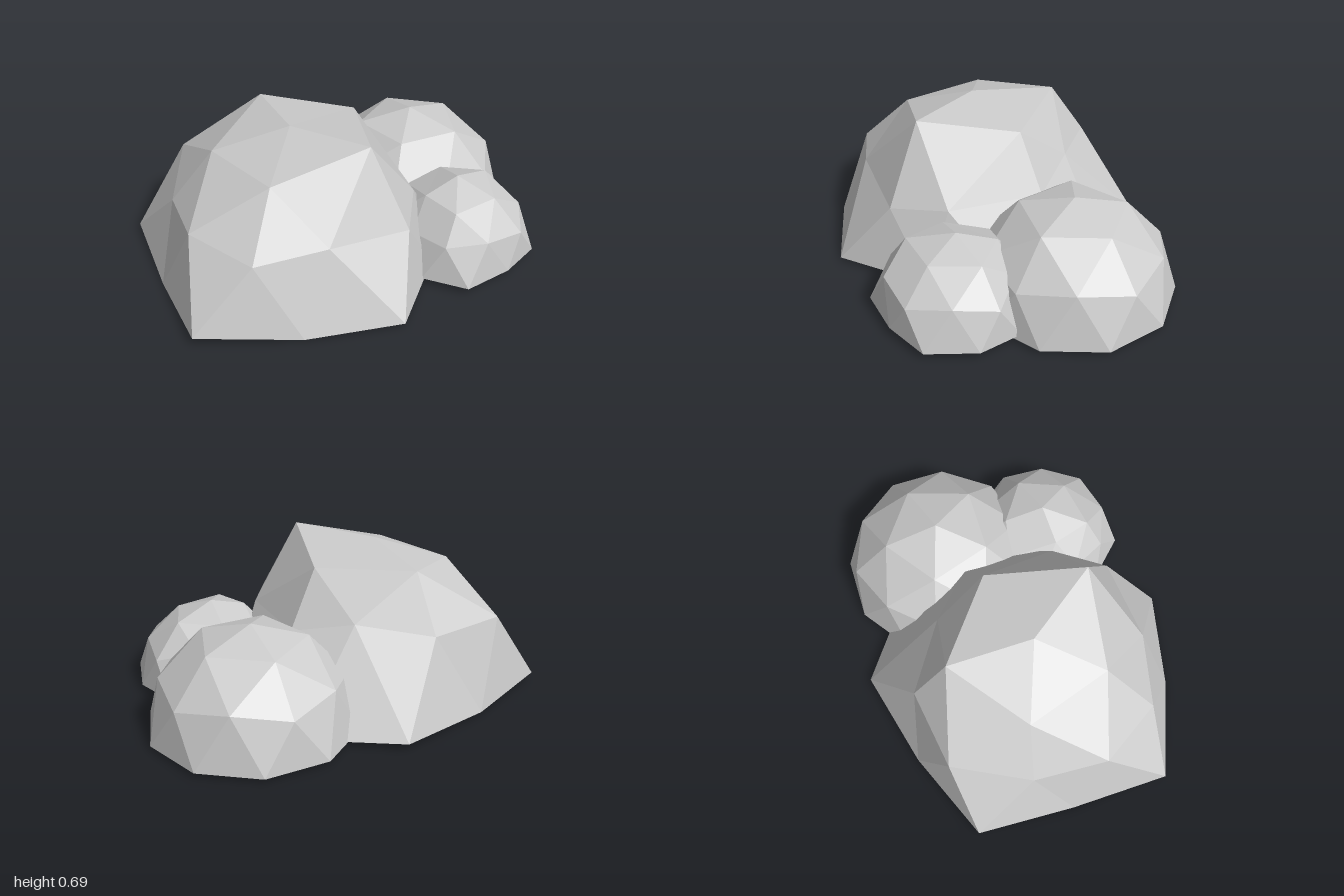
import * as THREE from 'three';

const material = new THREE.MeshStandardMaterial({
  color: 0xcccccc, flatShading: true, side: THREE.DoubleSide,
});

// Open faceted dome: the upper half of a once-subdivided icosahedron, made of
// a pole, 5 points round the cap, 10 round the shoulder and 10 round the rim.
function boulder(name, { pole, cap, shoulder, rim }) {
  const out = [];
  const face = (a, b, c) => out.push(...a, ...c, ...b);
  for (let i = 0; i < 5; i++) {
    const u0 = cap[i], u1 = cap[(i + 1) % 5];
    const v0 = shoulder[2 * i], m = shoulder[2 * i + 1], v1 = shoulder[(2 * i + 2) % 10];
    const e0 = rim[(2 * i + 9) % 10], e1 = rim[2 * i], e2 = rim[2 * i + 1];
    face(pole, u0, u1);
    face(u0, v0, m);
    face(u1, m, v1);
    face(u0, m, u1);
    face(v0, e1, m);
    face(m, e2, v1);
    face(m, e1, e2);
    face(v0, e0, e1);
  }
  const geometry = new THREE.BufferGeometry();
  geometry.setAttribute('position', new THREE.Float32BufferAttribute(out, 3));
  geometry.computeVertexNormals();
  const mesh = new THREE.Mesh(geometry, material);
  mesh.name = name;
  return mesh;
}

// Points of a regular dome; angles run from +x towards +z
function roundDome(x, base, z, radius, height) {
  const ring = (count, start, at) => Array.from({ length: count }, (_, i) => {
    const a = THREE.MathUtils.degToRad(start + (i * 360) / count);
    const [r, h] = at(i);
    return [x + radius * r * Math.cos(a), base + height * h, z + radius * r * Math.sin(a)];
  });
  return {
    pole: [x, base + height, z],
    cap: ring(5, 0, () => [0.526, 0.851]),
    shoulder: ring(10, 0, (i) => (i % 2 ? [0.851, 0.526] : [0.894, 0.447])),
    rim: ring(10, 18, () => [1, 0]),
  };
}

export function createModel() {
  const group = new THREE.Group();
  group.name = 'boulderCluster';

  // Large irregular boulder, steep at the front
  group.add(boulder('largeBoulder', {
    pole: [-0.24, 0.685, -0.08],
    cap: [[0.15, 0.635, -0.08], [-0.11, 0.695, 0.31], [-0.52, 0.575, 0.12],
      [-0.52, 0.57, -0.3], [-0.11, 0.65, -0.46]],
    shoulder: [[0.31, 0.38, -0.09], [0.16, 0.36, 0.32], [-0.05, 0.33, 0.5],
      [-0.44, 0.37, 0.41], [-0.73, 0.33, 0.25], [-0.82, 0.37, -0.08],
      [-0.69, 0.33, -0.4], [-0.43, 0.4, -0.68], [-0.06, 0.4, -0.62], [0.16, 0.44, -0.34]],
    rim: [[0.47, 0.01, 0.15], [0.17, 0.02, 0.45], [-0.24, 0.015, 0.68],
      [-0.63, 0.01, 0.46], [-1, 0.04, 0.16], [-0.86, 0, -0.28], [-0.7, 0.03, -0.72],
      [-0.24, 0.01, -0.76], [0.23, 0.03, -0.73], [0.51, 0.01, -0.35]],
  }));

  // Medium rounded boulder beside it
  group.add(boulder('mediumBoulder', roundDome(0.543, 0.015, -0.088, 0.48, 0.475)));

  // Small boulder in front, with a flatter front face
  group.add(boulder('smallBoulder', {
    pole: [0.36, 0.395, 0.41],
    cap: [[0.56, 0.34, 0.41], [0.42, 0.33, 0.59], [0.19, 0.33, 0.56],
      [0.19, 0.34, 0.37], [0.43, 0.335, 0.24]],
    shoulder: [[0.695, 0.19, 0.41], [0.61, 0.22, 0.59], [0.46, 0.19, 0.73],
      [0.25, 0.22, 0.71], [0.1, 0.2, 0.59], [0.07, 0.21, 0.41],
      [0.11, 0.2, 0.22], [0.28, 0.27, 0.16], [0.46, 0.2, 0.1], [0.58, 0.24, 0.25]],
    rim: [[0.71, 0.03, 0.52], [0.58, 0.03, 0.72], [0.36, 0.035, 0.755],
      [0.125, 0.03, 0.72], [0.025, 0.03, 0.52], [0.025, 0.03, 0.3], [0.15, 0.03, 0.12],
      [0.365, 0.03, 0.05], [0.58, 0.03, 0.12], [0.71, 0.03, 0.31]],
  }));

  return group;
}
